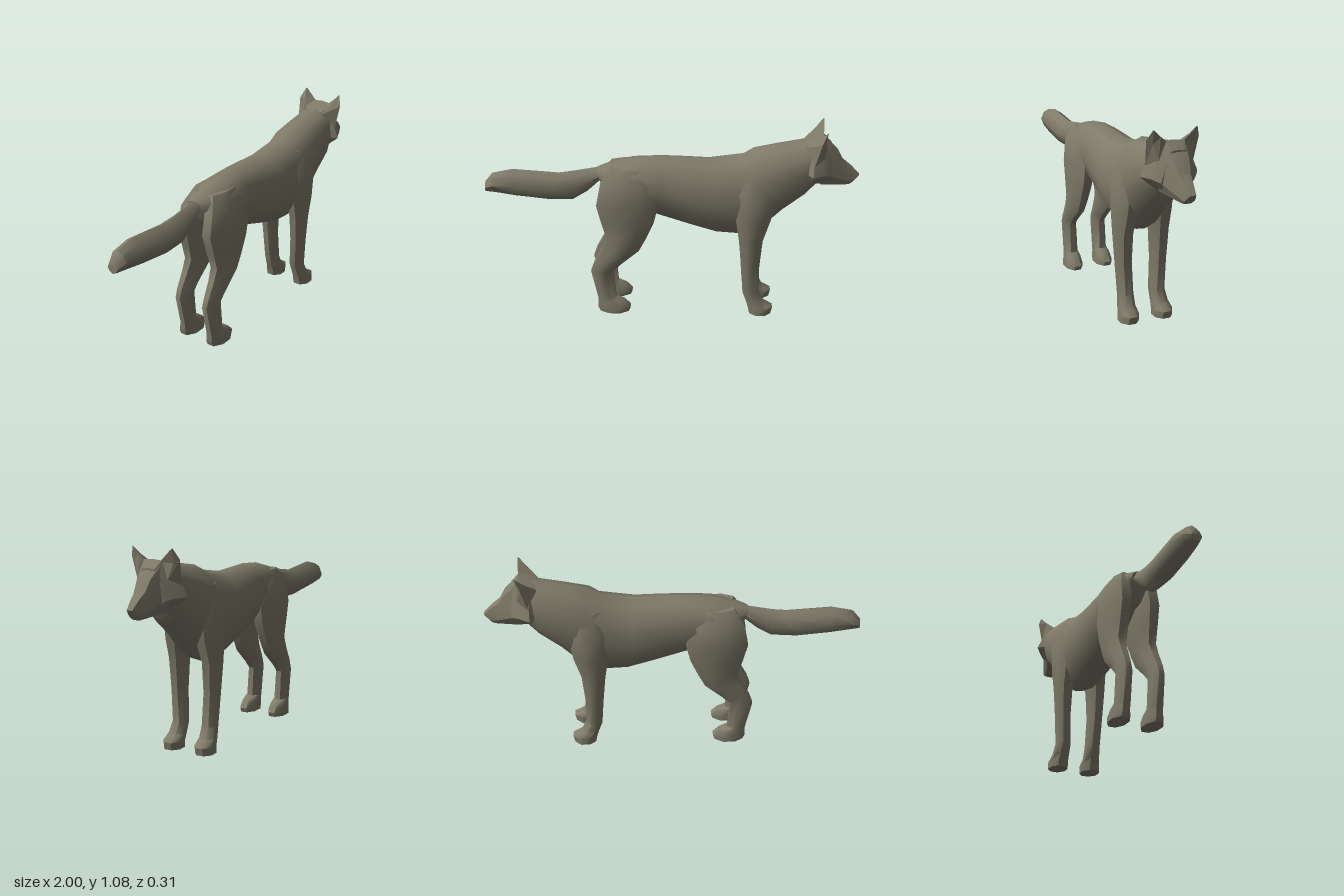
import * as THREE from 'three';
import { toCreasedNormals } from 'three/addons/utils/BufferGeometryUtils.js';

const fur = new THREE.MeshStandardMaterial({ color: 0x7f7a69 });
fur.name = 'greyBrownFur';

// Skin a list of rings (arrays of [x, y, z]) and close both ends
function loft(name, rings, crease = 0.7) {
  const pos = [];
  const tri = (a, b, c) => pos.push(...a, ...b, ...c);
  const n = rings[0].length;
  const mid = (r) => [0, 1, 2].map((k) => r.reduce((s, p) => s + p[k], 0) / n);
  const first = rings[0], last = rings[rings.length - 1];
  const c0 = mid(first), c1 = mid(last);
  for (let j = 0; j < n; j++) {
    const k = (j + 1) % n;
    for (let i = 0; i < rings.length - 1; i++) {
      const a = rings[i][j], b = rings[i][k], c = rings[i + 1][k], d = rings[i + 1][j];
      tri(a, b, c);
      tri(a, c, d);
    }
    tri(c0, first[k], first[j]);
    tri(c1, last[j], last[k]);
  }
  const geo = new THREE.BufferGeometry();
  geo.setAttribute('position', new THREE.Float32BufferAttribute(pos, 3));
  const mesh = new THREE.Mesh(toCreasedNormals(geo, crease), fur);
  mesh.name = name;
  return mesh;
}

// Upright ring from a half outline of [width, height] fractions, mirrored in z
function uprightRing(half, xTop, yTop, xBot, yBot, w) {
  const side = half.slice(1, -1).reverse().map(([u, v]) => [-u, v]);
  return [...half, ...side].map(([u, v]) => [
    xBot + (xTop - xBot) * v, yBot + (yTop - yBot) * v, u * w,
  ]);
}

// Level eight-sided ring for legs
function levelRing(y, x0, x1, zIn, zOut, s) {
  const ring = [];
  for (let j = 0; j < 8; j++) {
    const a = (j + 0.5) * Math.PI / 4;
    ring.push([
      (x0 + x1) / 2 + Math.sin(a) * (x1 - x0) / 2 / 0.924, y,
      s * (zIn + zOut) / 2 + Math.cos(a) * (zOut - zIn) / 2 / 0.924,
    ]);
  }
  return ring;
}

const bodyHalf = [[0, 1], [0.5, 0.94], [0.88, 0.77], [1, 0.5], [0.85, 0.24], [0.45, 0.06], [0, 0]];
const headHalf = [[0, 1], [0.42, 0.98], [0.78, 0.62], [1, 0.3], [0.5, 0.03], [0, 0]];
const muzzleHalf = [[0, 1], [0.55, 0.98], [0.85, 0.6], [1, 0.3], [0.7, 0.02], [0, 0]];
const tailHalf = [[0, 1], [0.65, 0.85], [1, 0.5], [0.65, 0.15], [0, 0]];

// xTop, yTop, xBot, yBot, half width
const bodySections = [
  [-0.395, 0.83, -0.375, 0.75, 0.045],
  [-0.33, 0.853, -0.33, 0.67, 0.095],
  [-0.2, 0.887, -0.2, 0.6, 0.128],
  [-0.05, 0.9, -0.07, 0.56, 0.115],
  [0.08, 0.896, 0.1, 0.505, 0.13],
  [0.2, 0.89, 0.25, 0.46, 0.143],
  [0.39, 0.922, 0.38, 0.445, 0.132],
  [0.44, 0.953, 0.49, 0.485, 0.143],
  [0.56, 0.975, 0.6, 0.6, 0.135],
  [0.7, 1.0, 0.71, 0.69, 0.125],
  [0.76, 1.01, 0.78, 0.765, 0.1],
];
const headSections = [
  [0.71, 0.995, 0.725, 0.785, 0.12],
  [0.75, 1.01, 0.74, 0.775, 0.152],
  [0.805, 1.024, 0.8, 0.768, 0.118],
  [0.845, 0.985, 0.84, 0.765, 0.085],
];
const muzzleSections = [
  [0.8, 1.015, 0.79, 0.772, 0.1],
  [0.88, 0.945, 0.85, 0.763, 0.07],
  [0.912, 0.888, 0.895, 0.76, 0.053],
  [0.96, 0.85, 0.925, 0.757, 0.04],
  [1.0, 0.81, 0.945, 0.755, 0.028],
];
const tailSections = [
  [-1.0, 0.74, -1.0, 0.682, 0.03],
  [-0.96, 0.79, -0.95, 0.675, 0.05],
  [-0.85, 0.814, -0.84, 0.657, 0.062],
  [-0.6, 0.796, -0.67, 0.638, 0.063],
  [-0.51, 0.81, -0.53, 0.64, 0.052],
  [-0.43, 0.825, -0.45, 0.69, 0.04],
  [-0.34, 0.84, -0.37, 0.765, 0.035],
];

// y, back x, front x, inner z, outer z
const frontLeg = [
  [0, 0.44, 0.558, 0.046, 0.145],
  [0.04, 0.432, 0.567, 0.046, 0.143],
  [0.072, 0.422, 0.515, 0.05, 0.135],
  [0.13, 0.4, 0.488, 0.05, 0.127],
  [0.3, 0.386, 0.486, 0.058, 0.137],
  [0.46, 0.37, 0.498, 0.052, 0.147],
  [0.58, 0.35, 0.535, 0.03, 0.153],
  [0.73, 0.34, 0.56, 0.02, 0.153],
  [0.86, 0.38, 0.53, 0.02, 0.11],
];
const hindLeg = [
  [0, -0.39, -0.232, 0.045, 0.14],
  [0.025, -0.402, -0.222, 0.045, 0.138],
  [0.062, -0.4, -0.255, 0.05, 0.132],
  [0.085, -0.402, -0.302, 0.054, 0.126],
  [0.25, -0.436, -0.314, 0.055, 0.125],
  [0.3, -0.418, -0.265, 0.053, 0.128],
  [0.38, -0.375, -0.172, 0.046, 0.132],
  [0.45, -0.345, -0.135, 0.036, 0.137],
  [0.55, -0.372, -0.09, 0.024, 0.141],
  [0.65, -0.396, -0.065, 0.015, 0.144],
  [0.77, -0.372, -0.085, 0.015, 0.138],
  [0.85, -0.32, -0.12, 0.015, 0.09],
];

// Ear corners: outer, front, inner, back
const earRings = [
  [[0.75, 0.9, 0.125], [0.81, 0.93, 0.085], [0.805, 1.01, 0.035], [0.7, 0.98, 0.06]],
  [[0.78, 1.025, 0.136], [0.796, 1.01, 0.108], [0.81, 1.045, 0.075], [0.765, 1.035, 0.09]],
  [[0.806, 1.078, 0.114], [0.809, 1.077, 0.112], [0.81, 1.08, 0.11], [0.806, 1.08, 0.111]],
];

export function createModel() {
  const model = new THREE.Group();
  model.name = 'wolf';

  const upright = (name, half, sections, crease) =>
    model.add(loft(name, sections.map((s) => uprightRing(half, ...s)), crease));
  upright('body', bodyHalf, bodySections, 0.9);
  upright('head', headHalf, headSections, 0.5);
  upright('muzzle', muzzleHalf, muzzleSections, 0.4);
  upright('tail', tailHalf, tailSections, 0.8);

  for (const [label, s] of [['left', 1], ['right', -1]]) {
    // Legs on each flank
    model.add(loft(label + 'FrontLeg', frontLeg.map((r) => levelRing(...r, s)), 0.8));
    model.add(loft(label + 'HindLeg', hindLeg.map((r) => levelRing(...r, s)), 0.8));
    // Mirrored ears keep their winding by reversing the ring
    const ear = earRings.map((ring) => {
      const r = ring.map(([x, y, z]) => [x, y, z * s]);
      return s > 0 ? r : r.reverse();
    });
    model.add(loft(label + 'Ear', ear, 0.3));
  }
  return model;
}
